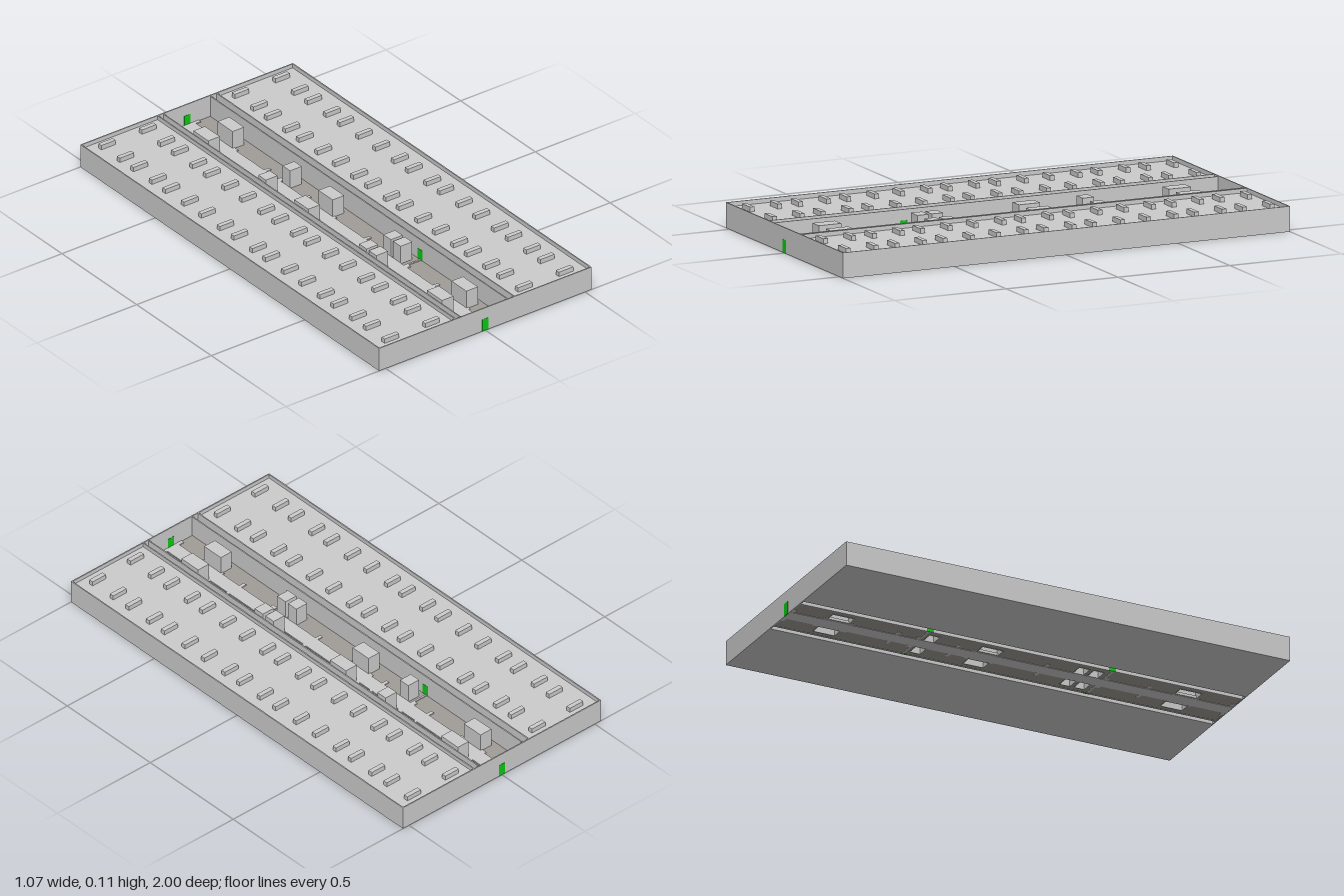
import * as THREE from 'three';

export function createModel() {
  const root = new THREE.Group();
  root.name = 'facility';
  const grey = new THREE.MeshStandardMaterial({ color: 0xcccccc, flatShading: true });
  const floorMat = new THREE.MeshStandardMaterial({ color: 0xa09c96, flatShading: true });
  const doorMat = new THREE.MeshStandardMaterial({ color: 0x0cc814, flatShading: true });

  // Box given by its lower and upper limits on each axis
  function box(parent, name, x0, x1, y0, y1, z0, z1, mat = grey) {
    const mesh = new THREE.Mesh(new THREE.BoxGeometry(x1 - x0, y1 - y0, z1 - z0), mat);
    mesh.position.set((x0 + x1) / 2, (y0 + y1) / 2, (z0 + z1) / 2);
    mesh.name = name;
    parent.add(mesh);
    return mesh;
  }
  // Same box on the +x or -x side
  function sideBox(parent, name, s, a, b, y0, y1, z0, z1, mat) {
    return box(parent, name, Math.min(s * a, s * b), Math.max(s * a, s * b), y0, y1, z0, z1, mat);
  }
  function group(name) {
    const g = new THREE.Group();
    g.name = name;
    root.add(g);
    return g;
  }

  const W = 0.533, H = 0.105, T = 0.005, DECK = 0.087;

  // Outer walls
  const walls = group('outerWalls');
  for (const s of [-1, 1]) {
    sideBox(walls, 'sideWall', s, W - T, W, 0, H, -1, 1);
    const z = s > 0 ? [1 - T, 1] : [-1, -1 + T];
    box(walls, 'endWall', -W + T, W - T, 0, H, z[0], z[1]);
  }

  // Raised decks with paired rows of small units
  const pairStarts = [-0.95, -0.735, -0.52, -0.28, -0.063, 0.15, 0.39, 0.605, 0.823];
  for (const s of [-1, 1]) {
    const deck = group(s > 0 ? 'leftDeck' : 'rightDeck');
    sideBox(deck, 'deckSlab', s, 0.15, W - T, 0, DECK, -1 + T, 1 - T);
    sideBox(deck, 'deckInnerWall', s, 0.145, 0.15, 0, H, -1 + T, 1 - T);
    for (const z of pairStarts)
      for (const zc of [z, z + 0.124])
        for (const x of [0.233, 0.437])
          sideBox(deck, 'deckUnit', s, x - 0.036, x + 0.036, DECK, DECK + 0.02, zc - 0.01, zc + 0.01);
  }

  // Central trench: walls, walkway and floor
  const trench = group('centralTrench');
  box(trench, 'walkway', -0.032, 0.032, 0, 0.012, -1 + T, 1 - T);
  const blocks = [[-0.835, -0.735], [-0.4, -0.35], [-0.16, -0.065], [0.275, 0.325], [0.34, 0.39], [0.73, 0.83]];
  const pads = [
    [-0.995, -0.98, 0.058], [-0.86, -0.71, 0.042], [-0.525, -0.51, 0.058], [-0.435, -0.42, 0.05],
    [-0.42, -0.412, 0.115], [-0.255, -0.24, 0.058], [-0.18, -0.05, 0.042], [0.145, 0.16, 0.058],
    [0.41, 0.418, 0.115], [0.418, 0.435, 0.05], [0.605, 0.62, 0.058], [0.72, 0.845, 0.042], [0.98, 0.995, 0.058],
  ];
  for (const s of [-1, 1]) {
    sideBox(trench, 'trenchWall', s, 0.115, 0.12, 0, H - 0.004, -1 + T, 1 - T);
    sideBox(trench, 'outerFloor', s, 0.09, 0.115, 0.002, 0.008, -1 + T, 1 - T, floorMat);
    // Floor bays lie between the blocks
    let z = -1 + T;
    for (const [a, b] of [...blocks, [1 - T, 1 - T]]) {
      sideBox(trench, 'floorBay', s, 0.032, 0.09, 0.002, 0.008, z, a, floorMat);
      z = b;
    }
    for (const [a, b, x] of pads) sideBox(trench, 'walkwayPad', s, 0.032, x, 0.001, 0.012, a, b);

    // Hollow blocks, open underneath
    for (const [a, b] of blocks) {
      const block = new THREE.Group();
      block.name = 'trenchBlock';
      trench.add(block);
      const t = 0.002, top = 0.09;
      sideBox(block, 'blockTop', s, 0.032, 0.09, top - t, top, a, b);
      for (const x of [0.032, 0.09 - t]) sideBox(block, 'blockSide', s, x, x + t, 0, top - t, a, b);
      for (const z0 of [a, b - t]) sideBox(block, 'blockEnd', s, 0.032 + t, 0.09 - t, 0, top - t, z0, z0 + t);
    }
  }

  // Doors at both ends and in the trench walls
  const doors = group('doors');
  for (const s of [-1, 1]) {
    box(doors, 'endDoor', -0.016, 0.016, 0, 0.055, s * 0.9975 - 0.0035, s * 0.9975 + 0.0035, doorMat);
    for (const z of [-0.41, 0.41])
      sideBox(doors, 'trenchDoor', s, 0.114, 0.121, 0, 0.055, z - 0.016, z + 0.016, doorMat);
  }
  return root;
}
